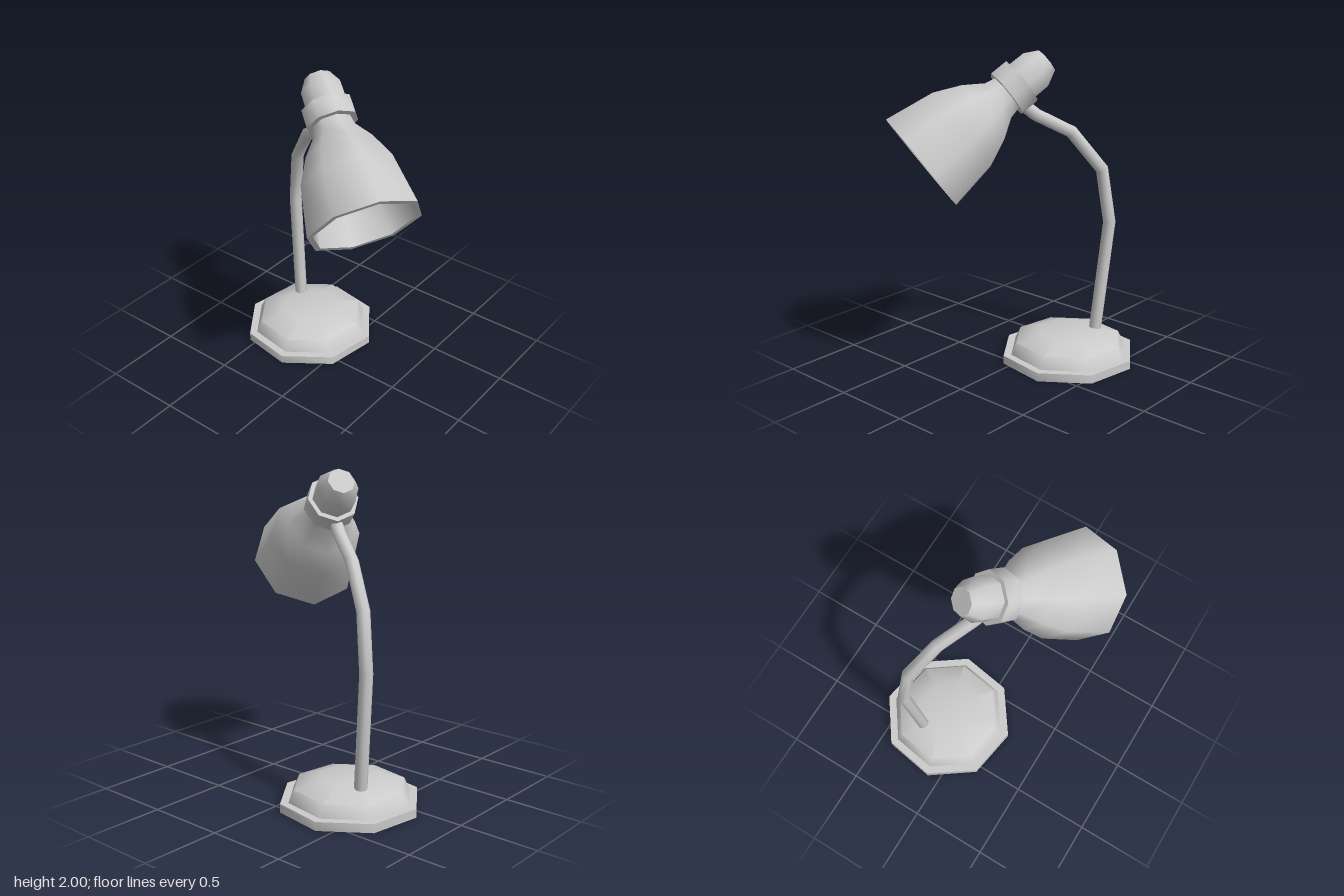
import * as THREE from 'three';
import { toCreasedNormals } from 'three/addons/utils/BufferGeometryUtils.js';

const SIDES = 8;
const material = new THREE.MeshStandardMaterial({ color: 0xcccccc });

function addMesh(parent, name, geometry) {
  const mesh = new THREE.Mesh(geometry, material);
  mesh.name = name;
  parent.add(mesh);
  return mesh;
}

// Eight-sided turned part; profile is [radius, height] going outwards then up
function turned(parent, name, profile) {
  const points = profile.map(([r, y]) => new THREE.Vector2(r, y));
  const geometry = new THREE.LatheGeometry(points, SIDES);
  return addMesh(parent, name, toCreasedNormals(geometry, THREE.MathUtils.degToRad(52)));
}

export function createModel() {
  const lamp = new THREE.Group();
  lamp.name = 'deskLamp';

  // Base: flat plate with a low dome
  const base = new THREE.Group();
  base.name = 'base';
  base.position.set(-0.315, 0, -0.18);
  base.rotation.y = THREE.MathUtils.degToRad(13.2);
  lamp.add(base);
  turned(base, 'basePlate', [[0, 0], [0.437, 0], [0.437, 0.055], [0.37, 0.055]]);
  turned(base, 'baseDome', [[0.385, 0.055], [0.35, 0.13], [0.195, 0.18], [0, 0.18]]);

  // Arm: bent tube lying in one vertical plane, one ring per bend
  const bends = [[-0.47, 0.1], [-0.545, 0.89], [-0.495, 1.24], [-0.32, 1.49], [-0.125, 1.61], [-0.03, 1.70]];
  const path = new THREE.CatmullRomCurve3(
    bends.map(([x, y]) => new THREE.Vector3(x, y, -0.275 + (x + 0.475) * 0.624)));
  path.getPointAt = (t, target) => path.getPoint(t, target);
  path.getTangentAt = (t, target) => path.getTangent(t, target);
  addMesh(lamp, 'arm', new THREE.TubeGeometry(path, bends.length - 1, 0.04, SIDES));

  // Head: local y runs from the shade opening back to the cap
  const head = new THREE.Group();
  head.name = 'head';
  const back = new THREE.Vector3(-0.682, 0.596, -0.425).normalize();
  const side = new THREE.Vector3().crossVectors(back, new THREE.Vector3(0, 1, 0)).normalize();
  const up = new THREE.Vector3().crossVectors(side, back);
  head.quaternion.setFromRotationMatrix(
    new THREE.Matrix4().makeBasis(side.clone(), back, up));
  head.position.set(0.483, 1.36, 0.31);
  lamp.add(head);

  // Shade: inner wall, rim, then outer wall
  turned(head, 'shade', [
    [0, 0.58], [0.10, 0.57], [0.185, 0.455], [0.26, 0.30], [0.308, 0],
    [0.342, 0], [0.29, 0.31], [0.215, 0.47], [0.135, 0.585], [0.118, 0.66],
  ]);
  turned(head, 'collar', [[0.1, 0.65], [0.157, 0.65], [0.157, 0.765], [0.1, 0.765]]);
  turned(head, 'cap', [[0.13, 0.74], [0.128, 0.875], [0.082, 0.96], [0, 0.96]]);

  return lamp;
}
